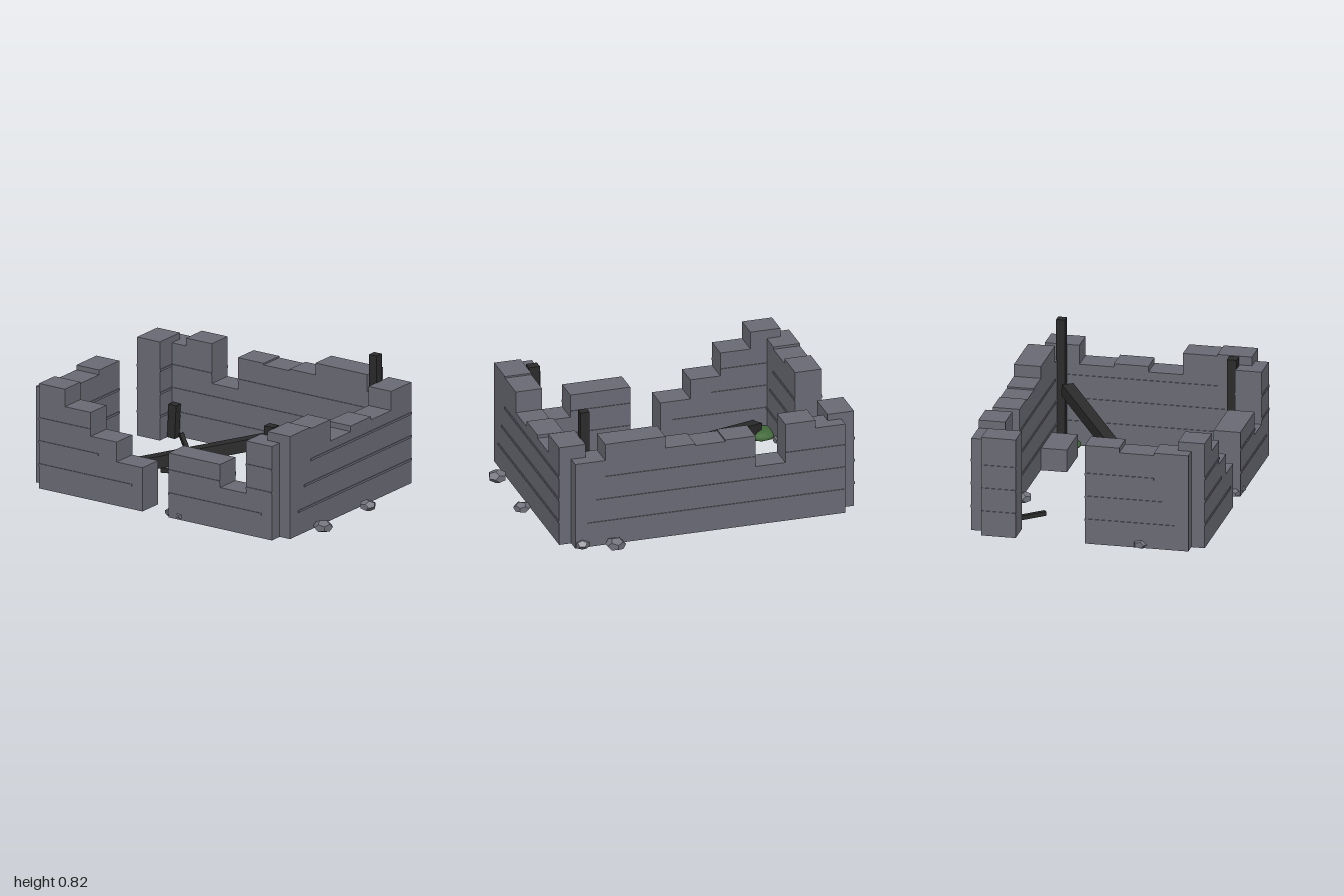
import * as THREE from 'three';

const mat = (name, color) => {
  const m = new THREE.MeshStandardMaterial({ color });
  m.name = name;
  return m;
};

export function createModel() {
  const root = new THREE.Group();
  root.name = 'ruinedHouse';
  const stone = mat('stone', 0x6a6a75);
  const rubble = mat('rubble', 0x72727c);
  const charred = mat('charredWood', 0x2a2a2a);
  const brown = mat('brownWood', 0x4c3127);
  const moss = mat('moss', 0x41683a);
  // flat faces for the low-poly lumps come from non-indexed polyhedra
  const base = 0.02;

  function box(name, material, x0, x1, y0, y1, z0, z1, parent = root) {
    const mesh = new THREE.Mesh(new THREE.BoxGeometry(x1 - x0, y1 - y0, z1 - z0), material);
    mesh.position.set((x0 + x1) / 2, (y0 + y1) / 2, (z0 + z1) / 2);
    mesh.name = name;
    parent.add(mesh);
    return mesh;
  }

  // A broken wall: columns of differing height (0 is a gap) with thin projecting courses
  function wall(name, axis, start, step, a0, a1, heights) {
    const g = new THREE.Group();
    g.name = name;
    root.add(g);
    const put = (label, s0, s1, y0, y1, out) => axis === 'x'
      ? box(label, stone, s0, s1, y0, y1, a0 - out, a1 + out, g)
      : box(label, stone, a0 - out, a1 + out, y0, y1, s0, s1, g);
    heights.forEach((h, i) => {
      if (!h) return;
      const s = start + i * step;
      put('wallColumn', s, s + step, base, h, 0);
    });
    // courses run along neighbouring columns that are tall enough
    [0.17, 0.315, 0.46].forEach((y, row) => {
      let from = -1;
      for (let i = 0; i <= heights.length; i++) {
        const solid = i < heights.length && heights[i] > y + 0.03;
        if (solid && from < 0) from = i;
        if (!solid && from >= 0) {
          const trim = i - from > 2 ? step * (0.4 + 0.3 * row) : 0;
          put('stoneCourse', start + from * step, start + i * step - trim, y - 0.007, y + 0.007, 0.005);
          from = -1;
        }
      }
    });
  }
  wall('frontWall', 'x', -0.89, 0.1878, 0.595, 0.758,
    [0.68, 0.57, 0.42, 0.295, 0, 0.425, 0.425, 0.28, 0.61]);
  wall('backWall', 'x', -0.89, 0.1878, -0.67, -0.505,
    [0.6, 0.65, 0.4, 0.6, 0.59, 0.6, 0.675, 0.675, 0.57]);
  wall('leftWall', 'z', -0.59, 0.211, 0.71, 0.875,
    [0.655, 0.535, 0.555, 0.52, 0.655, 0.665]);
  wall('rightWall', 'z', -0.59, 0.211, -0.97, -0.805,
    [0.64, 0, 0, 0.64, 0.61, 0.625]);

  // Collapsed block at the foot of the back wall
  box('fallenBlock', stone, 0.235, 0.52, base, 0.16, -0.505, -0.345);

  // Burnt corner posts
  box('tallPost', charred, 0.66, 0.715, base, 0.825, -0.51, -0.455);
  box('frontPost', charred, 0.632, 0.7, base, 0.665, 0.54, 0.6);
  const stump = box('brokenPost', charred, -0.8, -0.745, base, 0.23, -0.505, -0.455);
  stump.rotation.z = -0.05;

  // A straight timber between two points
  function timber(name, material, a, b, width, height) {
    const p = new THREE.Vector3(...a), q = new THREE.Vector3(...b);
    const mesh = new THREE.Mesh(new THREE.BoxGeometry(width, height, p.distanceTo(q)), material);
    mesh.position.copy(p).add(q).multiplyScalar(0.5);
    mesh.lookAt(q);
    mesh.name = name;
    root.add(mesh);
  }
  timber('fallenBeam', charred, [-0.725, 0.075, 0.545], [0.63, 0.4, -0.435], 0.072, 0.075);

  // Loose planks on the ground: x0, z0, x1, z1
  [[-0.405, 0, -0.045, -0.075], [-0.455, 0.11, -0.11, -0.02],
    [0.205, 0.36, 0.565, 0.44], [-0.725, -0.49, -0.55, -0.295]].forEach(([x0, z0, x1, z1]) =>
    timber('charredPlank', charred, [x0, 0.04, z0], [x1, 0.04, z1], 0.027, 0.027));
  [[-0.225, 0.297, 0.145, 0.293], [0.285, 0.05, 0.65, 0.012 - 0.092],
    [0.22, 0.42, 0.49, 0.18], [0.41, 0.255, 0.73, 0.09]].forEach(([x0, z0, x1, z1]) =>
    timber('brownPlank', brown, [x0, 0.04, z0], [x1, 0.04, z1], 0.03, 0.027));

  // Flattened low-poly lumps: x, z, radius
  function lump(name, geometry, material, x, y, z, r, squash, turn) {
    const mesh = new THREE.Mesh(geometry, material);
    mesh.position.set(x, y, z);
    mesh.scale.set(r, r * squash, r);
    mesh.rotation.y = turn;
    mesh.name = name;
    root.add(mesh);
  }
  const rockGeo = new THREE.DodecahedronGeometry(1, 0);
  [[0.565, -0.725, 0.062], [0.755, -0.665, 0.047], [0.935, -0.05, 0.052], [0.937, 0.42, 0.06],
    [0.045, 0.72, 0.04], [0.125, 0.745, 0.03], [0.455, 0.61, 0.048], [-0.315, -0.48, 0.052],
    [-0.95, 0.38, 0.05], [-0.83, 0.41, 0.048]].forEach(([x, z, r], i) =>
    lump('rubbleStone', rockGeo, rubble, x, 0.042, z, r, 0.65, i * 1.3));

  const mossGeo = new THREE.IcosahedronGeometry(1, 1);
  [[0.66, -0.445, 0.088], [-0.745, 0.535, 0.1], [0.66, 0.535, 0.09]].forEach(([x, z, r], i) =>
    lump('mossPatch', mossGeo, moss, x, 0.04, z, r, 0.32, i));

  return root;
}
